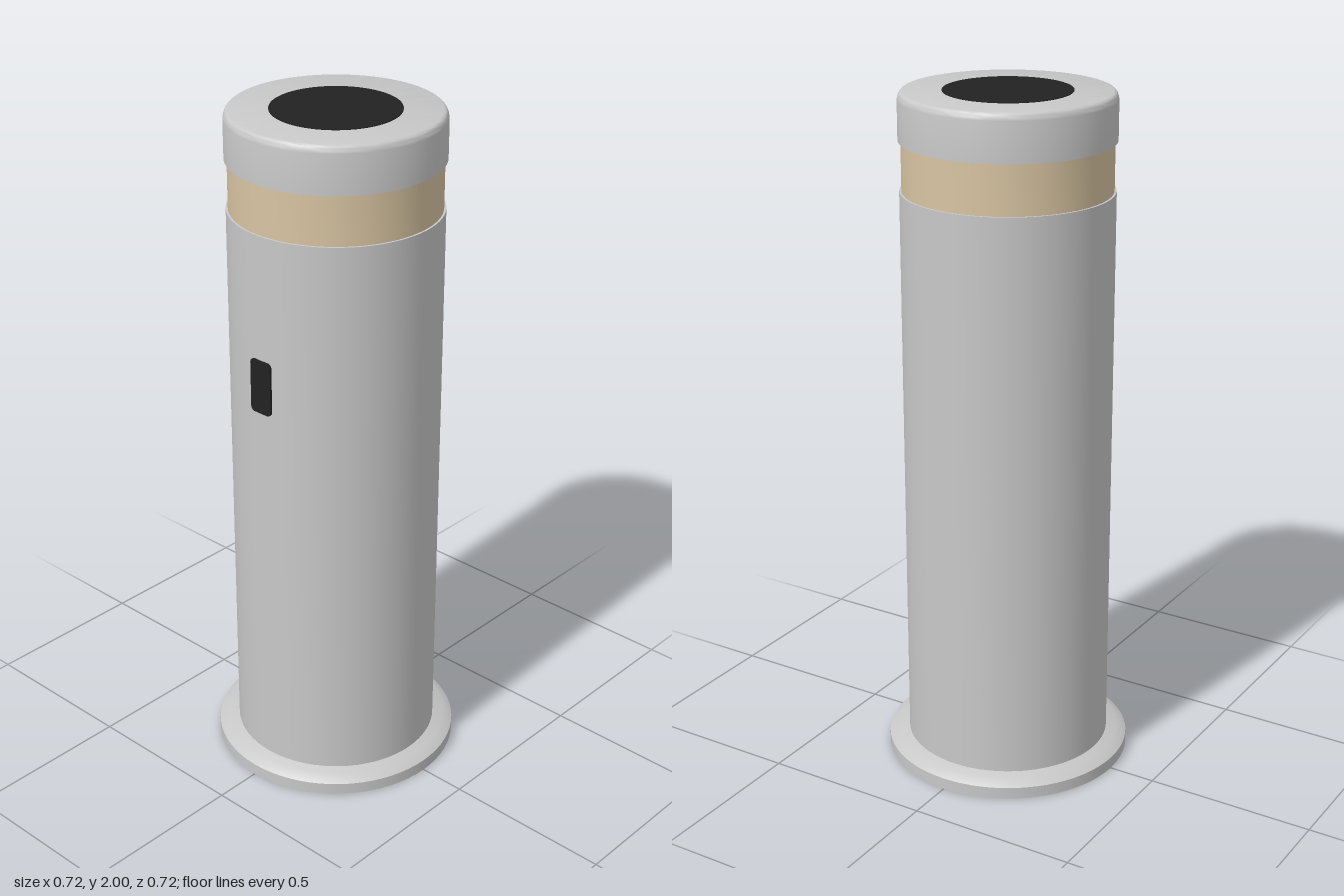
import * as THREE from 'three';
import { toCreasedNormals } from 'three/addons/utils/BufferGeometryUtils.js';

export function createModel() {
  const metal = new THREE.MeshStandardMaterial({ color: 0xc8c8c8 });
  metal.name = 'satinMetal';
  const lens = new THREE.MeshStandardMaterial({ color: 0xd8c4a2 });
  lens.name = 'warmLens';
  const black = new THREE.MeshStandardMaterial({ color: 0x222222 });
  black.name = 'blackPanel';

  const group = new THREE.Group();
  group.name = 'bollardLight';

  const add = (name, geometry, material) => {
    const mesh = new THREE.Mesh(geometry, material);
    mesh.name = name;
    group.add(mesh);
    return mesh;
  };

  // Turned part from [radius, height] points, listed bottom to top
  const turned = (name, profile, material) => {
    const points = profile.map(([r, y]) => new THREE.Vector2(r, y));
    return add(name, toCreasedNormals(new THREE.LatheGeometry(points, 72), 0.61), material);
  };

  // Base flange with a sloped upper edge
  turned('baseFlange', [[0, 0], [0.36, 0], [0.36, 0.035], [0.33, 0.055], [0, 0.055]], metal);

  // Main post and the recessed light band
  turned('post', [[0, 0.05], [0.3, 0.05], [0.3, 1.722], [0, 1.722]], metal);
  turned('lightBand', [[0.294, 1.715], [0.294, 1.87]], lens);

  // Cap with a rounded upper rim
  const cap = [[0, 1.864], [0.302, 1.864]];
  for (let i = 0; i <= 6; i++) {
    const a = (i / 6) * Math.PI / 2;
    cap.push([0.288 + 0.014 * Math.cos(a), 1.97 + 0.028 * Math.sin(a)]);
  }
  cap.push([0, 1.998]);
  turned('cap', cap, metal);

  // Solar disc on the cap
  const disc = add('solarDisc', new THREE.CylinderGeometry(0.18, 0.18, 0.006, 72), black);
  disc.position.y = 1.997;

  // Rounded sensor window on the front
  const w = 0.037, h = 0.08, r = 0.014;
  const shape = new THREE.Shape();
  shape.absarc(w - r, h - r, r, 0, Math.PI / 2);
  shape.absarc(-w + r, h - r, r, Math.PI / 2, Math.PI);
  shape.absarc(-w + r, -h + r, r, Math.PI, Math.PI * 1.5);
  shape.absarc(w - r, -h + r, r, Math.PI * 1.5, Math.PI * 2);
  const sensor = add('sensorWindow',
    new THREE.ExtrudeGeometry(shape, { depth: 0.009, bevelEnabled: false, curveSegments: 6 }), black);
  sensor.position.set(0, 1.28, 0.295);

  return group;
}
